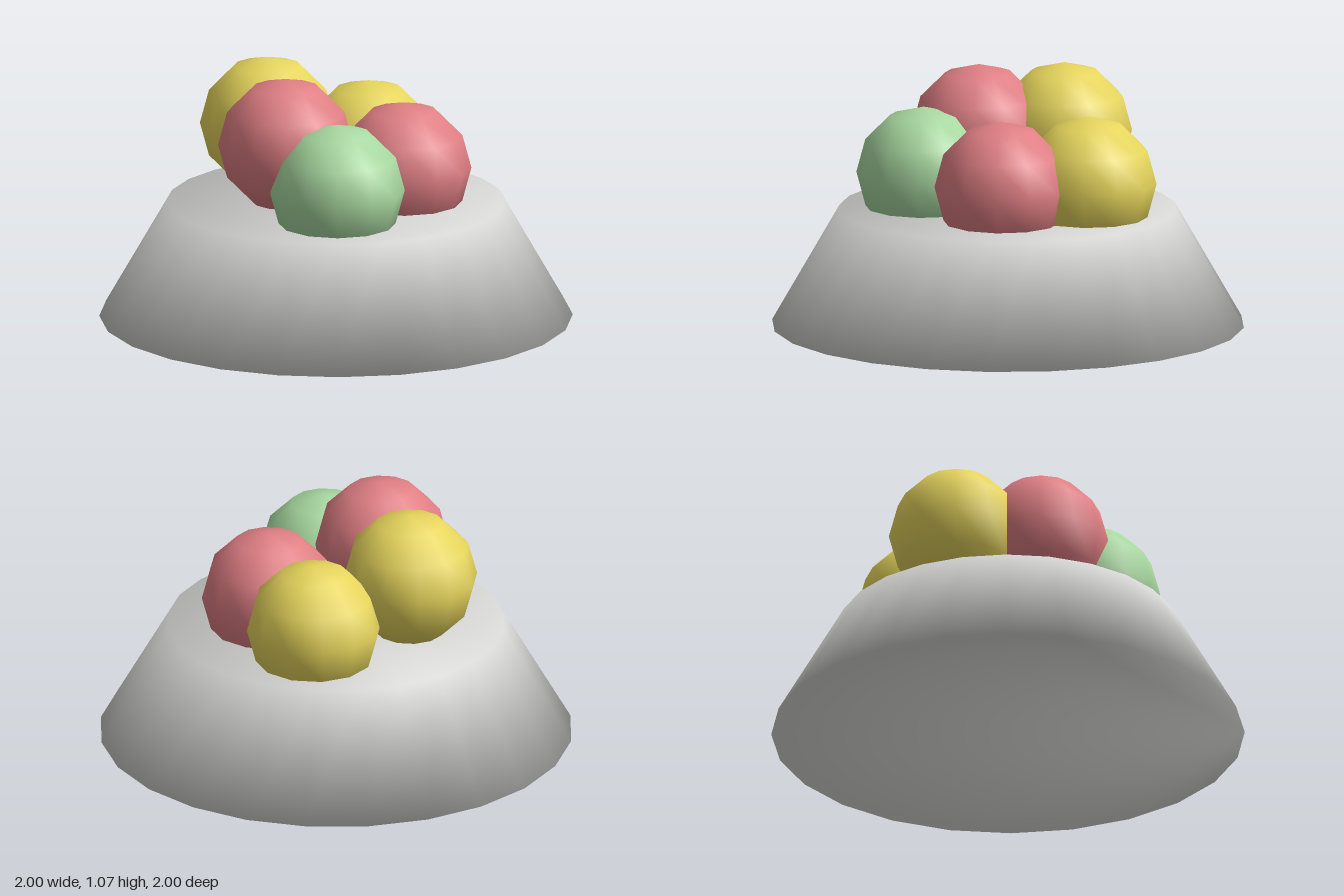
import * as THREE from 'three';

const mat = (name, hex) => {
  const m = new THREE.MeshStandardMaterial({ color: hex });
  m.name = name;
  return m;
};

// Closed truncated cone whose walls and flat caps share softened rim normals
function softFrustum(rTop, rBottom, height, sides) {
  const positions = [], normals = [], index = [];
  const slope = Math.atan2(rBottom - rTop, height);
  const tiltTop = (slope + Math.PI / 2) / 2;      // halfway between wall and up
  const tiltBottom = (slope - Math.PI / 2) / 2;   // halfway between wall and down
  const rings = [[rBottom, 0, tiltBottom], [rTop, height, tiltTop]];
  for (const [r, y, tilt] of rings) {
    for (let i = 0; i < sides; i++) {
      const a = (i / sides) * Math.PI * 2;
      const s = Math.sin(a), c = Math.cos(a);
      positions.push(r * s, y, r * c);
      normals.push(Math.cos(tilt) * s, Math.sin(tilt), Math.cos(tilt) * c);
    }
  }
  // Sloping wall
  for (let i = 0; i < sides; i++) {
    const j = (i + 1) % sides;
    index.push(i, j, sides + j, i, sides + j, sides + i);
  }
  // Bottom and top caps
  for (let i = 1; i < sides - 1; i++) {
    index.push(0, i + 1, i);
    index.push(sides, sides + i, sides + i + 1);
  }
  const g = new THREE.BufferGeometry();
  g.setAttribute('position', new THREE.Float32BufferAttribute(positions, 3));
  g.setAttribute('normal', new THREE.Float32BufferAttribute(normals, 3));
  g.setIndex(index);
  return g;
}

export function createModel() {
  const model = new THREE.Group();
  model.name = 'bowlOfBalls';

  const grey = mat('light grey', 0xd4d4d2);
  const red = mat('soft red', 0xe07f84);
  const yellow = mat('soft yellow', 0xe6d55c);
  const green = mat('soft green', 0xa8d8a0);

  // Upturned bowl
  const bowl = new THREE.Mesh(softFrustum(0.714, 1, 0.5, 24), grey);
  bowl.name = 'bowl';
  model.add(bowl);

  // Pile of balls, the lower ones sunk into the top
  const ball = new THREE.SphereGeometry(0.286, 12, 6);
  const balls = [
    ['frontBall', green, 0, 0.643, 0.357],
    ['leftBall', red, 0.286, 0.643, 0],
    ['backBall', yellow, 0.143, 0.643, -0.357],
    ['upperFrontBall', red, -0.214, 0.786, 0.143],
    ['upperBackBall', yellow, -0.286, 0.786, -0.214],
  ];
  for (const [name, material, x, y, z] of balls) {
    const mesh = new THREE.Mesh(ball, material);
    mesh.name = name;
    mesh.position.set(x, y, z);
    model.add(mesh);
  }
  return model;
}
